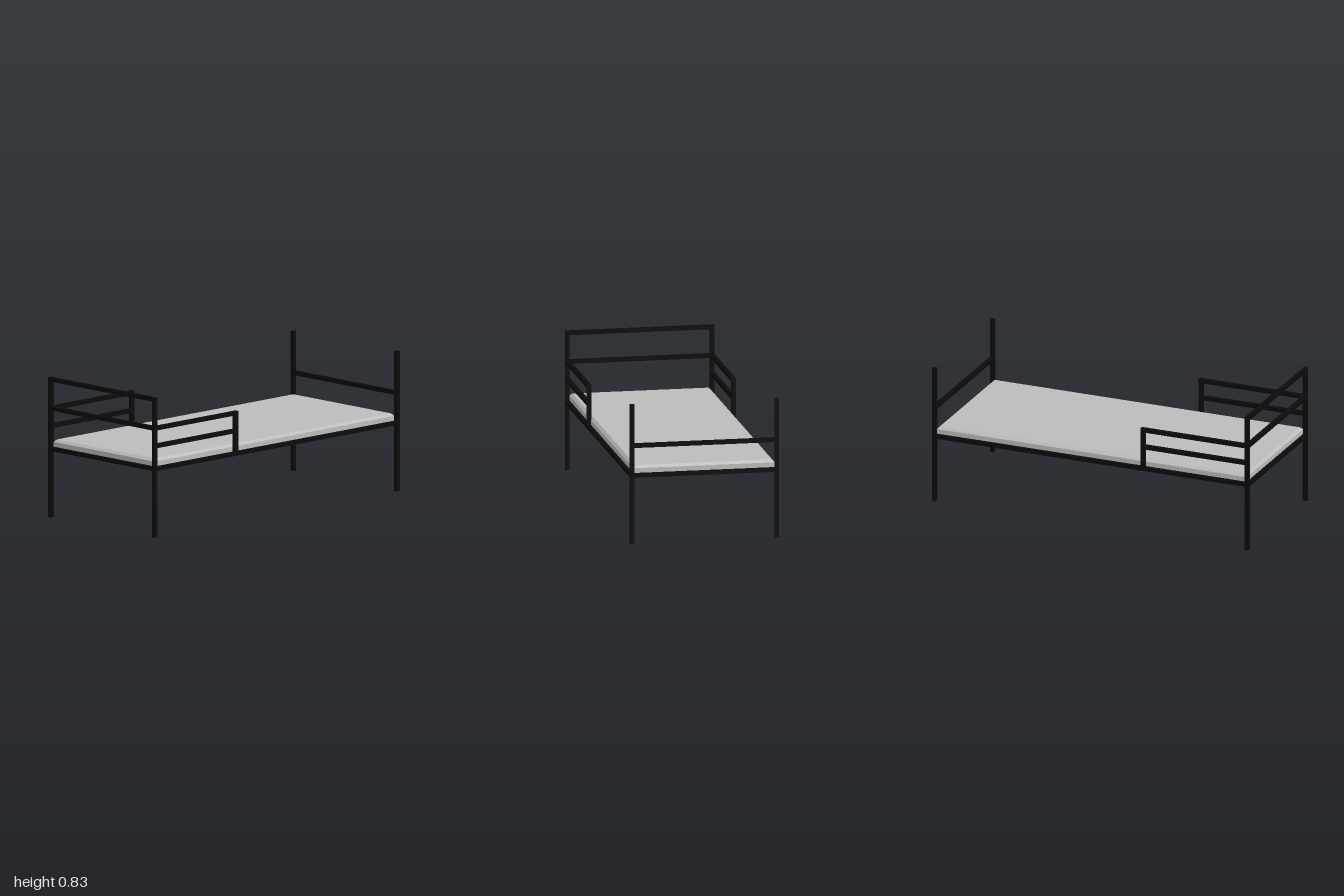
import * as THREE from 'three';

const W = 0.44, L = 1.0, T = 0.024; // half width, half length, tube thickness

export function createModel() {
  const bed = new THREE.Group();
  bed.name = 'bed';
  const frameBlack = new THREE.MeshStandardMaterial({ name: 'frame black', color: 0x0b0b0b });
  const mattressGrey = new THREE.MeshStandardMaterial({ name: 'mattress grey', color: 0xbcbcbc });

  // Box given by its lower and upper corners
  function bar(name, [x0, y0, z0], [x1, y1, z1], parent) {
    const g = new THREE.BoxGeometry(x1 - x0, y1 - y0, z1 - z0);
    g.translate((x0 + x1) / 2, (y0 + y1) / 2, (z0 + z1) / 2);
    const mesh = new THREE.Mesh(g, frameBlack);
    mesh.name = name;
    parent.add(mesh);
  }

  // Crossbar between the posts of one end, given the y of its underside
  function crossbar(name, y, end) {
    const z = end * (L - T / 2);
    bar(name, [-W + T, y, z - T / 2], [W - T, y + T, z + T / 2], bed);
  }

  // Base slab, inset at the corners by the posts
  bar('base', [-W, 0.392, -L + T], [W, 0.416, L - T], bed);
  crossbar('frontBaseRail', 0.392, 1);
  crossbar('backBaseRail', 0.392, -1);

  // End rails: two at the front, one at the back
  crossbar('frontTopRail', 0.803, 1);
  crossbar('frontMiddleRail', 0.632, 1);
  crossbar('backRail', 0.569, -1);

  for (const side of [-1, 1]) {
    const x0 = side > 0 ? W - T : -W, x1 = x0 + T;
    const label = side > 0 ? 'left' : 'right';

    // Corner posts
    bar(label + 'FrontPost', [x0, 0, L - T], [x1, 0.827, L], bed);
    bar(label + 'BackPost', [x0, 0, -L], [x1, 0.827, -L + T], bed);

    // Side guard: an upright with two rails to the front post
    const guard = new THREE.Group();
    guard.name = label + 'Guard';
    bar('guardUpright', [x0, 0.416, 0.318], [x1, 0.656, 0.318 + T], guard);
    for (const y of [0.632, 0.527]) {
      bar('guardRail', [x0, y, 0.318 + T], [x1, y + T, L - T], guard);
    }
    bed.add(guard);
  }

  // Mattress: a box whose top edge is chamfered
  const mw = 0.418, ml = 0.979, inset = 0.016;
  const g = new THREE.BoxGeometry(2 * mw, 0.043, 2 * ml, 1, 2, 1);
  const p = g.attributes.position;
  for (let i = 0; i < p.count; i++) {
    const y = p.getY(i);
    if (y > 0.01) {
      p.setX(i, Math.sign(p.getX(i)) * (mw - inset));
      p.setZ(i, Math.sign(p.getZ(i)) * (ml - inset));
    }
    p.setY(i, y < -0.01 ? 0.416 : y > 0.01 ? 0.459 : 0.444);
  }
  const flat = g.toNonIndexed();
  flat.computeVertexNormals();
  const mattress = new THREE.Mesh(flat, mattressGrey);
  mattress.name = 'mattress';
  bed.add(mattress);

  return bed;
}
